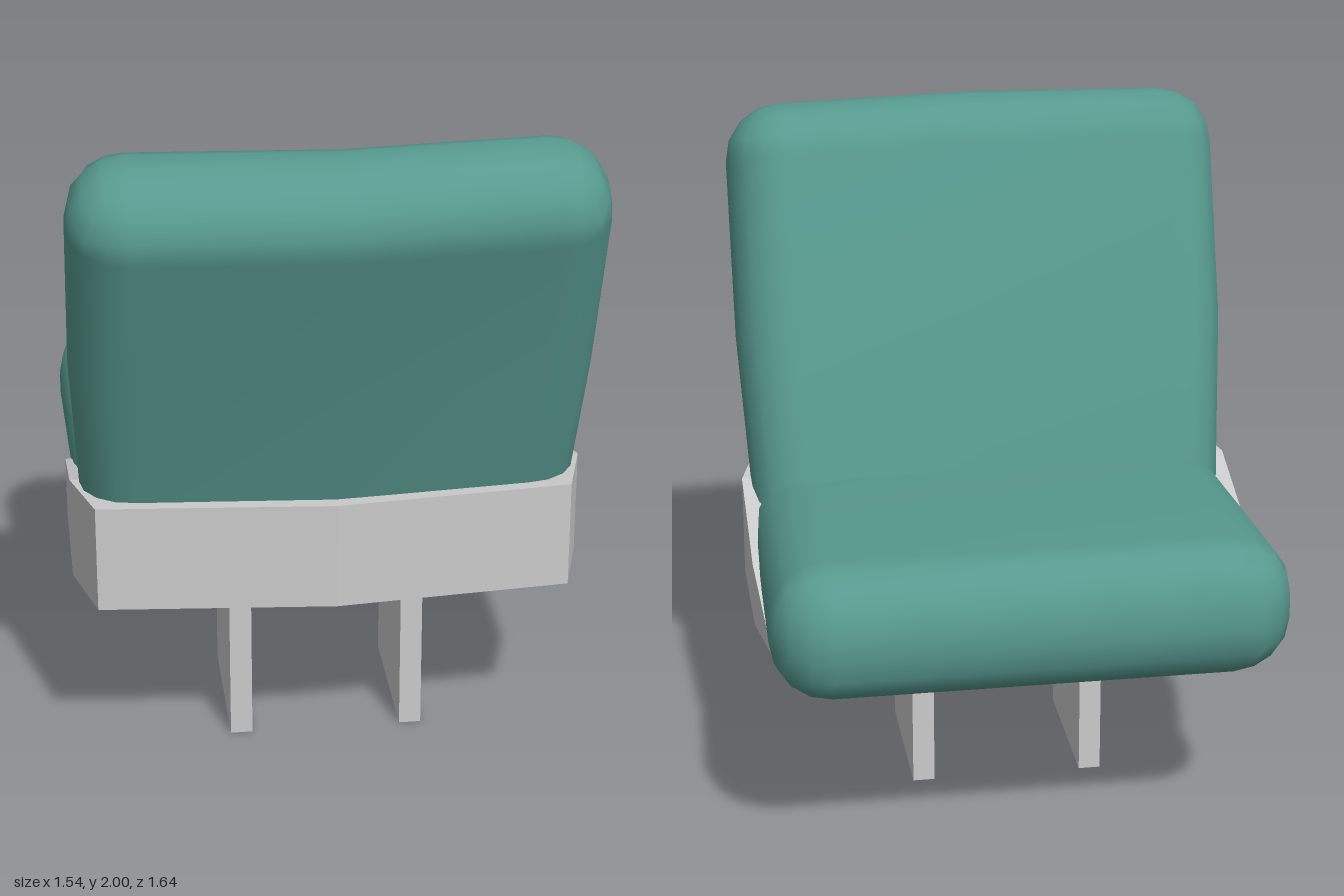
import * as THREE from 'three';
import { mergeVertices } from 'three/addons/utils/BufferGeometryUtils.js';

const fabric = new THREE.MeshStandardMaterial({ color: 0x579a8f });
const metal = new THREE.MeshStandardMaterial({ color: 0xcccccc, flatShading: true });

function addMesh(group, name, geometry, material) {
  const mesh = new THREE.Mesh(geometry, material);
  mesh.name = name;
  group.add(mesh);
  return mesh;
}

// Moves every vertex of a geometry by a rule
function reshape(geometry, rule) {
  const pos = geometry.attributes.position;
  const v = new THREE.Vector3();
  for (let i = 0; i < pos.count; i++) {
    v.fromBufferAttribute(pos, i);
    rule(v);
    pos.setXYZ(i, v.x, v.y, v.z);
  }
  return geometry;
}

// Rounded block (half sizes hx, hy, hz) with a middle loop on each axis, then bent by a rule
function cushion(hx, hy, hz, r, bend) {
  const k = 2, n = 2 * k + 2;
  const half = new THREE.Vector3(hx, hy, hz);
  const inner = half.clone().subScalar(r);
  const low = inner.clone().negate();
  // Grid step to position: flat part up to the inner box, then even arc steps
  const place = (g, flat) => {
    const a = Math.abs(g);
    if (a < 0.5) return 0;
    return Math.sign(g) * (flat + r * Math.tan(((a - 1) / k) * Math.PI / 4));
  };
  const geo = reshape(new THREE.BoxGeometry(n, n, n, n, n, n), (v) => {
    v.set(place(Math.round(v.x), inner.x), place(Math.round(v.y), inner.y), place(Math.round(v.z), inner.z));
    const core = v.clone().clamp(low, inner);
    v.sub(core).setLength(r).add(core);
    bend(v);
  });
  geo.deleteAttribute('normal');
  geo.deleteAttribute('uv');
  const merged = mergeVertices(geo, 1e-4);
  merged.computeVertexNormals();
  return merged;
}

export function createModel() {
  const group = new THREE.Group();

  // Seat cushion: thinner and slightly narrower toward the backrest
  addMesh(group, 'seatCushion', cushion(0.765, 0.21, 0.56, 0.175, (v) => {
    v.z -= 0.26;
    const drop = 0.083 * Math.max(0, v.z + 0.65);
    v.y += 0.785 - drop * (v.y / 0.21 + 1) / 2;
    v.x *= 1 - 0.045 * Math.max(0, v.z + 0.57);
  }), fabric);

  // Backrest: leans back, kinked at mid height, bowed at the centre
  const halfLength = 0.717;
  addMesh(group, 'backrest', cushion(0.765, halfLength, 0.195, 0.17, (v) => {
    const lean = Math.abs(v.y) < 1e-4 ? 0.323 : v.y > 0 ? 0.356 : 0.29;
    const { y, z } = v;
    const bow = 0.045 * (1 - Math.min(Math.abs(v.x) / 0.6, 1));
    v.x *= 1 - 0.05 * Math.max(0, -y / halfLength);
    v.y = 1.31 + y * Math.cos(lean) - z * Math.sin(lean);
    v.z = 0.39 + y * Math.sin(lean) + z * Math.cos(lean) + bow;
  }), fabric);

  // Base: wedge through four stations of [z, half width, top height], back edge bowed
  const stations = [[-0.35, 0.735, 0.565], [-0.12, 0.77, 0.76], [0.27, 0.77, 0.88], [0.5, 0.705, 0.893]];
  addMesh(group, 'base', reshape(new THREE.BoxGeometry(2, 1, 3, 2, 1, 3), (v) => {
    const i = Math.round(v.z + 1.5);
    const [z, halfWidth, top] = stations[i];
    const bow = i === 3 && Math.abs(v.x) < 0.1 ? 0.06 : 0;
    v.set(v.x * halfWidth, v.y > 0 ? top : 0.56, z + bow);
  }), metal);

  // Two plate legs
  for (const [name, x] of [['leftLeg', 0.259], ['rightLeg', -0.268]]) {
    addMesh(group, name, new THREE.BoxGeometry(0.067, 0.57, 0.48), metal).position.set(x, 0.285, 0.08);
  }

  return group;
}
